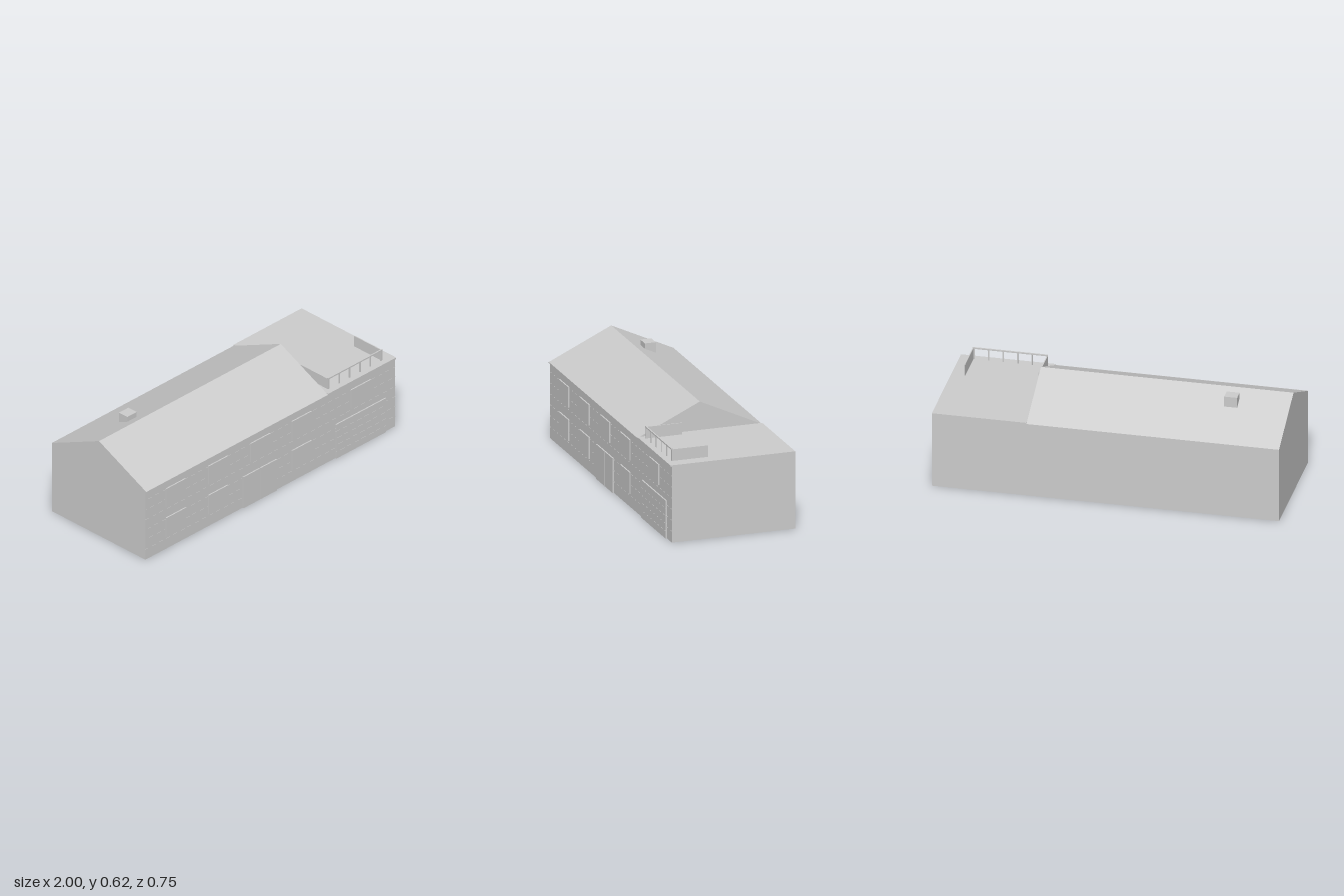
import * as THREE from 'three';

export function createModel() {
  const house = new THREE.Group();
  house.name = 'house';
  const grey = new THREE.MeshStandardMaterial({ color: 0xcccccc });
  grey.name = 'plain grey';

  // Box given by its minimum and maximum corners
  function block(name, x0, x1, y0, y1, z0, z1) {
    const mesh = new THREE.Mesh(new THREE.BoxGeometry(x1 - x0, y1 - y0, z1 - z0), grey);
    mesh.position.set((x0 + x1) / 2, (y0 + y1) / 2, (z0 + z1) / 2);
    mesh.name = name;
    house.add(mesh);
  }

  const wall = 0.366, face = 0.374, back = -0.373, eave = 0.45, deck = 0.457, roofEnd = 0.455;

  // Walls: gabled part on the right, flat-roofed garage part on the left
  block('mainWalls', -1, roofEnd, 0, eave, back, wall);
  block('garageWalls', roofEnd, 1, 0, deck, back, wall);
  block('eaveTrim', -1, roofEnd, 0.446, 0.451, wall, face);
  block('deckTrim', roofEnd, 1, 0.447, deck, wall, face);

  // Gable roof
  const gable = new THREE.Shape();
  gable.moveTo(back, eave);
  gable.lineTo(face, eave);
  gable.lineTo(0, 0.625);
  const roofGeometry = new THREE.ExtrudeGeometry(gable, { depth: roofEnd + 1, bevelEnabled: false });
  roofGeometry.rotateY(-Math.PI / 2); // shape x becomes z, depth becomes -x
  const roof = new THREE.Mesh(roofGeometry, grey);
  roof.position.x = roofEnd;
  roof.name = 'roof';
  house.add(roof);

  block('chimney', -0.705, -0.63, 0.5, 0.625, -0.133, -0.067);

  // Shallow siding lines across the front
  for (let i = 1; i <= 6; i++) {
    const y = i * 0.065;
    block('sidingLine', -1, 1, y, y + 0.003, wall - 0.002, wall + 0.001);
  }

  // Windows
  const width = 0.156;
  for (const x of [-0.838, -0.5, -0.162, 0.169, 0.642]) {
    block('upperWindow', x, x + width, 0.278, 0.4, wall, face);
  }
  for (const x of [-0.838, -0.5, 0.169]) {
    block('lowerWindow', x, x + width, 0.08, 0.207, wall, face);
  }

  // Double front door and panelled garage door
  block('doorLeaf', -0.223, -0.09, 0, 0.205, wall, face);
  block('doorLeaf', -0.086, 0.047, 0, 0.205, wall, face);
  for (let i = 0; i < 5; i++) {
    block('garagePanel', 0.52, 0.919, i * 0.045, i * 0.045 + 0.044, wall, face);
  }

  // Roof terrace: solid side panels, open railing in front
  for (const x of [0.49, 0.919]) {
    block('terraceSide', x, x + 0.006, deck, 0.525, 0.122, 0.338);
  }
  block('railing', 0.49, 0.925, 0.521, 0.529, 0.332, 0.34);
  for (let i = 0; i < 6; i++) {
    const x = 0.494 + i * 0.0835;
    block('railingPost', x, x + 0.007, deck, 0.523, 0.333, 0.339);
  }

  return house;
}
